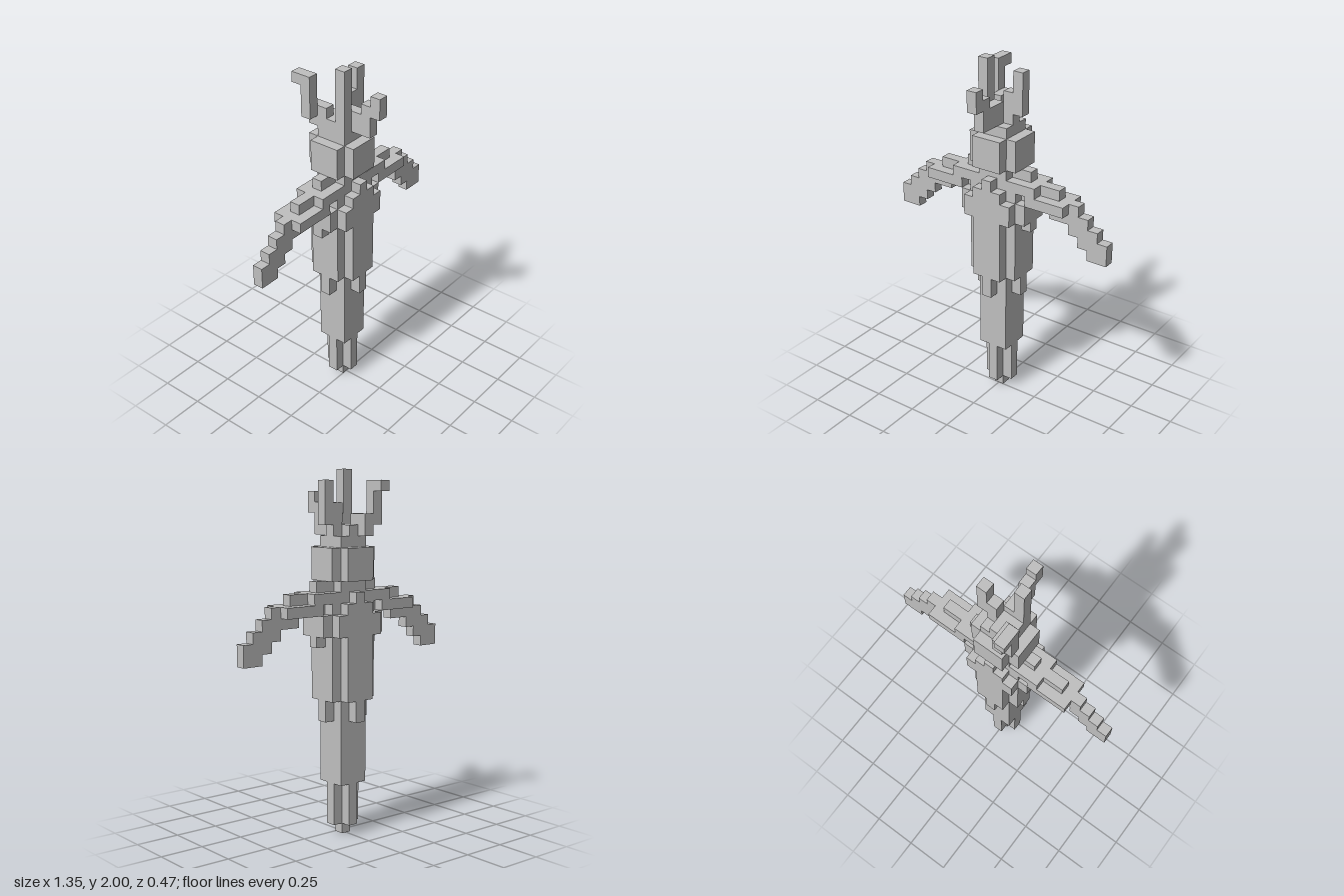
import * as THREE from 'three';

// All parts sit on a cubic grid, 34 cells tall.
const U = 2 / 34;

export function createModel() {
  const model = new THREE.Group();
  const grey = new THREE.MeshStandardMaterial({ color: 0xbfbfbf });
  grey.name = 'light grey';

  const part = (name) => {
    const g = new THREE.Group();
    g.name = name;
    model.add(g);
    return g;
  };

  // Block covering cells x0..x1 and z0..z1 (relative to the body axis), from height y0 to y1.
  const block = (g, x0, x1, y0, y1, z0, z1) => {
    const geo = new THREE.BoxGeometry((x1 - x0 + 1) * U, (y1 - y0) * U, (z1 - z0 + 1) * U);
    const mesh = new THREE.Mesh(geo, grey);
    mesh.name = g.name + 'Block';
    mesh.position.set(((x0 + x1) / 2) * U, ((y0 + y1) / 2) * U, ((z0 + z1) / 2 - 0.5) * U);
    g.add(mesh);
  };

  // Cross-shaped layer: two crossing blocks of half-length r and half-width w
  const cross = (g, r, w, y0, y1) => {
    block(g, -r, r, y0, y1, -w, w);
    block(g, -w, w, y0, y1, -r, r);
  };

  // Tapering root
  const root = part('root');
  block(root, 0, 0, 0, 1, 0, 0);
  cross(root, 1, 0, 1, 5);
  block(root, -1, 1, 5, 13, -1, 1);

  // Torso with a narrow tip under each side
  const torso = part('torso');
  cross(torso, 2, 0, 11, 13);
  cross(torso, 2, 1, 13, 21);
  block(torso, -2, 2, 21, 23, -1, 1);

  // Stepped collar leaves on front and back
  const collar = part('collar');
  for (const z of [-2, 2]) {
    block(collar, -2, 2, 19, 21, z, z);
    block(collar, -1, 1, 21, 22, z, z);
    block(collar, 0, 0, 22, 23, z, z);
  }

  // Shoulder leaves and drooping arms, mirrored
  for (const s of [1, -1]) {
    const arm = part(s > 0 ? 'leftArm' : 'rightArm');
    const add = (a, b, y0, y1, w) =>
      block(arm, Math.min(s * a, s * b), Math.max(s * a, s * b), y0, y1, -w, w);
    add(3, 3, 18, 19, 0);
    add(3, 3, 19, 21, 1);
    add(3, 4, 22, 23, 1);
    add(4, 7, 21, 22, 1);
    add(3, 6, 21, 23, 0);
    add(6, 7, 20, 22, 0);
    add(8, 8, 19, 22, 0);
    add(9, 9, 18, 21, 0);
    add(10, 10, 17, 20, 0);
    add(11, 11, 17, 19, 0);
  }

  // Neck and shoulder ridge
  const neck = part('neck');
  block(neck, -3, 3, 23, 24, 0, 0);
  block(neck, -1, 1, 23, 24, -1, 1);

  const head = part('head');
  cross(head, 2, 1, 24, 27);

  // Crown base and four bent stems
  const crown = part('crownBase');
  block(crown, -1, 1, 27, 28, -1, 1);
  cross(crown, 1, 0, 28, 29);

  const tall = part('tallStem');
  block(tall, -1, -1, 28, 34, 1, 1);

  const side = part('sideStem');
  block(side, 1, 1, 28, 31, 0, 0);
  block(side, 2, 2, 29, 33, 0, 0);

  const front = part('frontStem');
  block(front, 0, 0, 28, 30, 1, 2);
  block(front, 0, 0, 28, 31, 3, 3);
  block(front, 0, 0, 30, 32, 4, 4);

  const back = part('backStem');
  block(back, -1, -1, 28, 30, -2, -1);
  block(back, -2, -2, 29, 33, -2, -2);
  block(back, -2, -2, 32, 33, -3, -3);

  return model;
}
